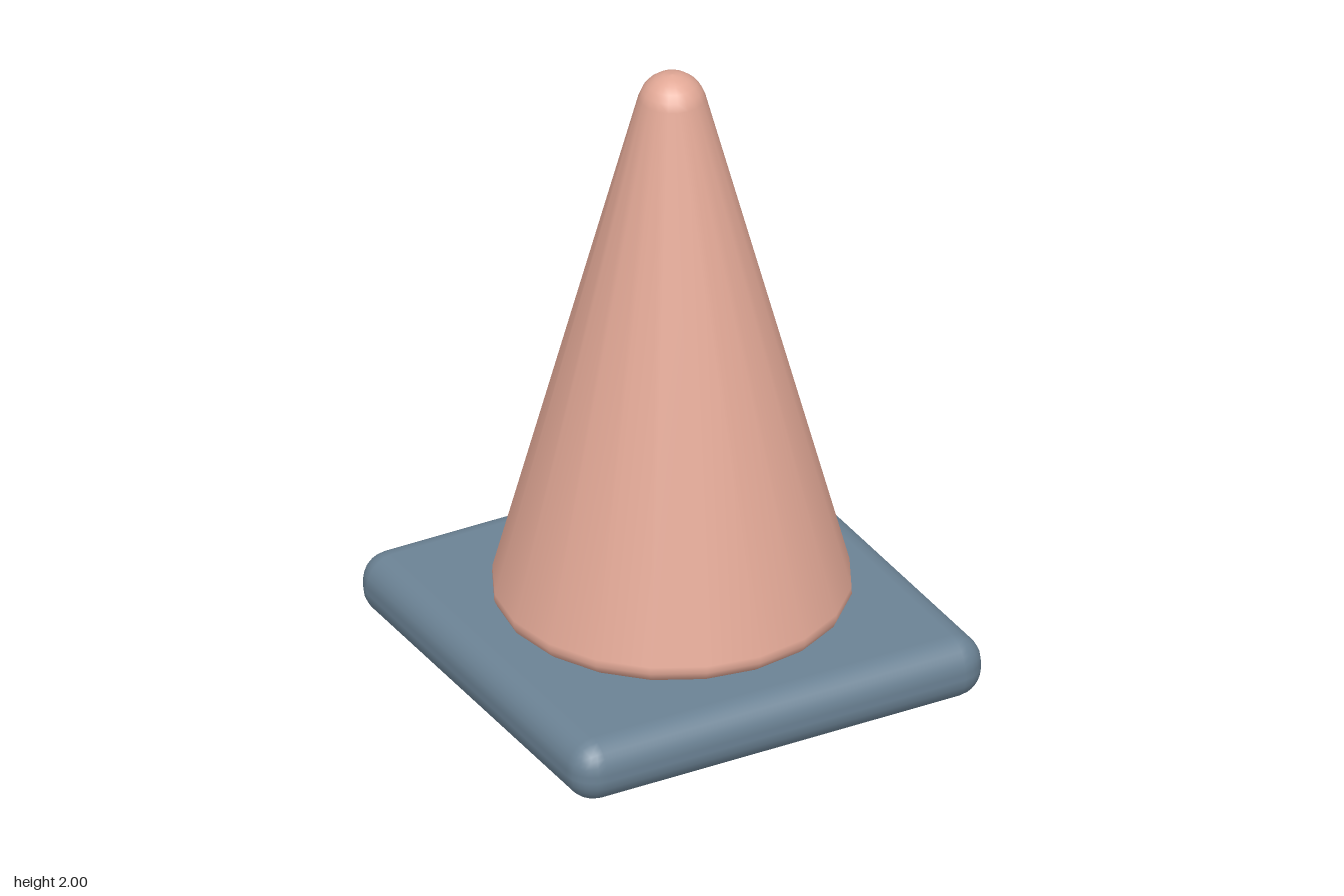
import * as THREE from 'three';
import { RoundedBoxGeometry } from 'three/addons/geometries/RoundedBoxGeometry.js';

// Points along a circular arc in the (radius, height) plane
function arc(cx, cy, r, from, to, steps) {
  return Array.from({ length: steps + 1 }, (_, i) => {
    const a = from + (to - from) * (i / steps);
    return new THREE.Vector2(Math.max(0, cx + r * Math.cos(a)), cy + r * Math.sin(a));
  });
}

export function createModel() {
  const model = new THREE.Group();
  model.name = 'trafficCone';

  // Square foot with rounded edges
  const base = new THREE.Mesh(
    new RoundedBoxGeometry(1.4, 0.2, 1.4, 3, 0.09),
    new THREE.MeshStandardMaterial({ color: 0x6b8294 })
  );
  base.name = 'base';
  base.position.y = 0.1;
  model.add(base);

  // Tapered body: flat underside, rounded lower rim, straight side, domed tip
  const slope = THREE.MathUtils.degToRad(14.8);
  const profile = [
    new THREE.Vector2(0, 0.2),
    ...arc(0.49, 0.25, 0.05, -Math.PI / 2, slope, 4),
    ...arc(0, 1.896, 0.104, slope, Math.PI / 2, 5),
  ];
  const cone = new THREE.Mesh(
    new THREE.LatheGeometry(profile, 20),
    new THREE.MeshStandardMaterial({ color: 0xe2a896 })
  );
  cone.name = 'cone';
  model.add(cone);

  return model;
}
